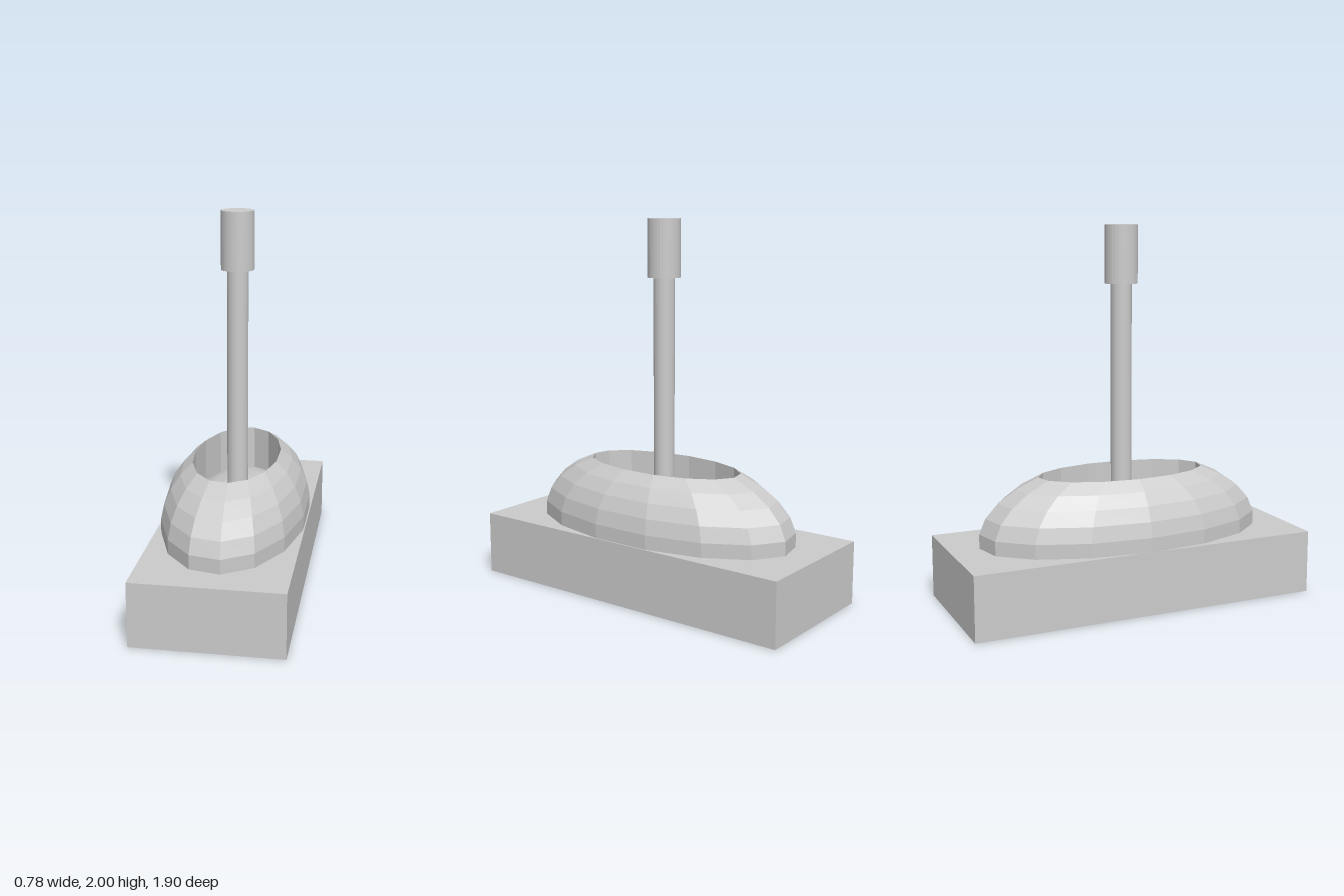
import * as THREE from 'three';

const SIDES = 15;          // facets around the oval dome
const ROW = Math.PI / 15;  // angle of one facet row
const RX = 0.392, RZ = 0.798;

const material = new THREE.MeshStandardMaterial({
  color: 0xcccccc, flatShading: true, side: THREE.DoubleSide,
});

export function createModel() {
  const group = new THREE.Group();

  const add = (name, geometry, y) => {
    const mesh = new THREE.Mesh(geometry, material);
    mesh.name = name;
    mesh.position.y = y;
    group.add(mesh);
    return mesh;
  };

  // Upright cylinder between two heights
  const addRod = (name, radius, y0, y1) =>
    add(name, new THREE.CylinderGeometry(radius, radius, y1 - y0, 32), (y0 + y1) / 2);

  // A band of the oval dome, from one facet row to another
  const domeBand = (from, to) =>
    new THREE.SphereGeometry(RX, SIDES, to - from, 0, Math.PI * 2, from * ROW, (to - from) * ROW)
      .scale(1, 1, RZ / RX);

  // Rectangular base
  add('base', new THREE.BoxGeometry(0.775, 0.34, 1.9), 0.17);

  // Faceted oval dome with its crown sunk into a straight-walled well
  const domeY = 0.375, sink = 0.24;
  const rimY = domeY + RX * Math.cos(3 * ROW);
  const rimR = RX * Math.sin(3 * ROW);
  add('dome', domeBand(3, 8), domeY);
  add('sunkenCrown', domeBand(0, 3), domeY - sink);
  const wall = new THREE.CylinderGeometry(rimR, rimR, sink, SIDES, 1, true, -Math.PI / 2);
  add('wellWall', wall.scale(1, 1, RZ / RX), rimY - sink / 2);

  // Shaft and knob
  addRod('shaft', 0.056, 0.34, 1.695);
  addRod('knob', 0.087, 1.695, 2);

  return group;
}
